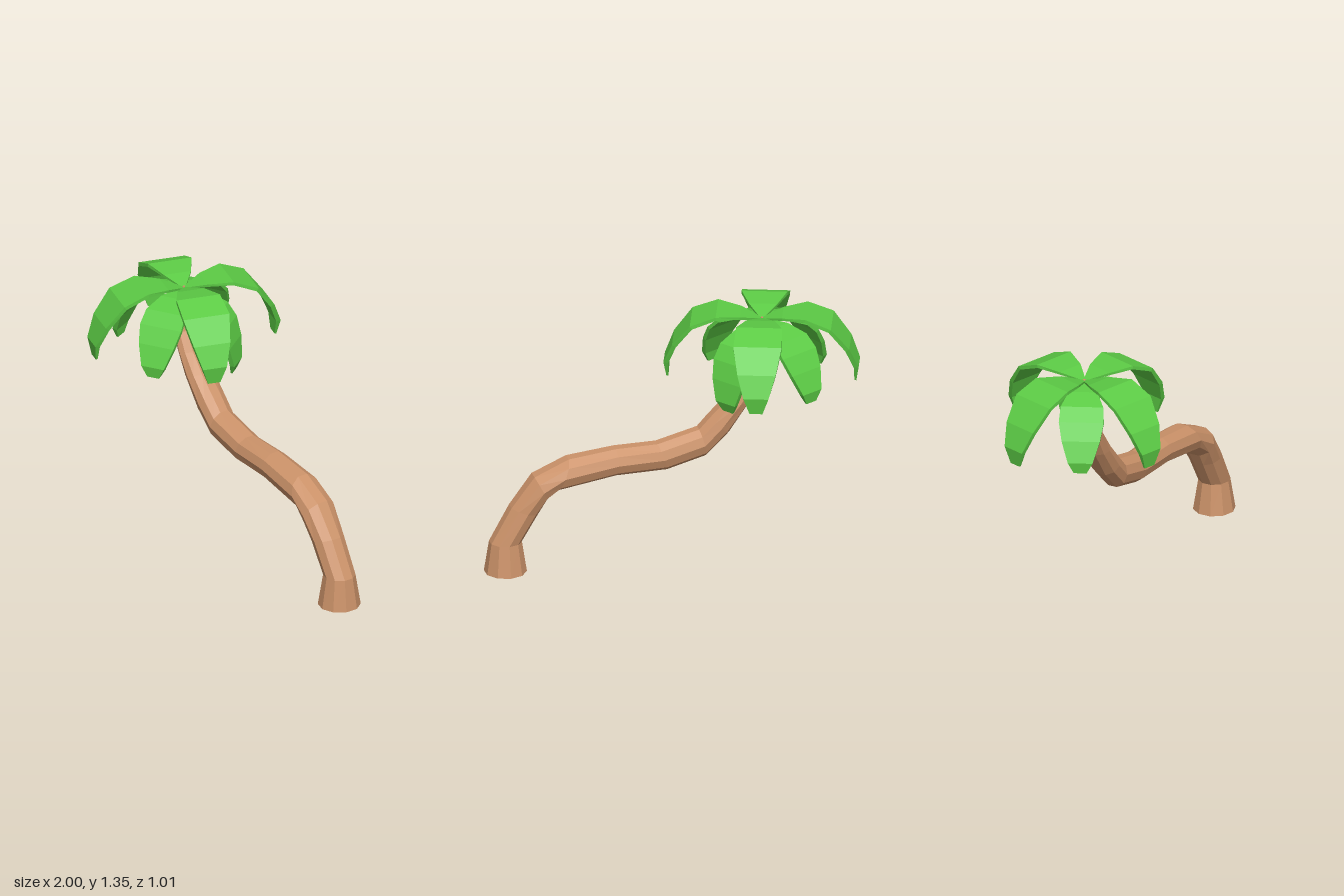
import * as THREE from 'three';

const bark = new THREE.MeshStandardMaterial({ color: 0xcb9269, flatShading: true });
const green = new THREE.MeshStandardMaterial({ color: 0x5ccb45, flatShading: true });

// Joins equal-sized closed cross-sections into a capped solid.
function loft(rings) {
  const n = rings[0].length, last = (rings.length - 1) * n, index = [];
  for (let i = 0; i < rings.length - 1; i++) {
    for (let k = 0; k < n; k++) {
      const a = i * n + k, b = i * n + (k + 1) % n;
      index.push(a, a + n, b, b, a + n, b + n);
    }
  }
  for (let k = 1; k < n - 1; k++) {
    index.push(0, k, k + 1, last, last + k + 1, last + k);
  }
  const geo = new THREE.BufferGeometry();
  geo.setAttribute('position', new THREE.Float32BufferAttribute(rings.flat(2), 3));
  geo.setIndex(index);
  const flat = geo.toNonIndexed();
  flat.computeVertexNormals();
  return flat;
}

// Ten-sided trunk: each ring is inner edge x, y, outer edge x, y, centre z, z radius.
function trunkGeometry() {
  const sides = 10;
  const stations = [
    [0.785, 0, 1, 0, 0.032, 0.112],
    [0.81, 0.17, 0.975, 0.17, 0.032, 0.084],
    [0.72, 0.32, 0.866, 0.365, 0.032, 0.088],
    [0.675, 0.395, 0.743, 0.53, 0.03, 0.1],
    [0.626, 0.444, 0.56, 0.615, 0.02, 0.095],
    [0.305, 0.497, 0.305, 0.647, 0.01, 0.085],
    [0.03, 0.503, 0.08, 0.652, 0.002, 0.08],
    [-0.18, 0.56, -0.144, 0.71, 0, 0.08],
    [-0.305, 0.68, -0.2, 0.77, 0, 0.082],
    [-0.417, 0.84, -0.3, 0.87, 0, 0.08],
    [-0.48, 0.965, -0.38, 0.97, 0, 0.077],
    [-0.524, 1.053, -0.44, 1.07, 0, 0.068],
    [-0.54, 1.2, -0.475, 1.21, 0, 0.04],
    [-0.497, 1.305, -0.485, 1.305, 0, 0.007],
  ];
  return loft(stations.map(([x1, y1, x2, y2, cz, rz]) =>
    Array.from({ length: sides }, (_, k) => {
      const a = (k + 0.5) * 2 * Math.PI / sides;
      const c = Math.cos(a) / Math.cos(Math.PI / sides) / 2;
      return [(x1 + x2) / 2 + (x2 - x1) * c, (y1 + y2) / 2 + (y2 - y1) * c, cz + rz * Math.sin(a)];
    })));
}

// Thin drooping frond along +x; rows of reach, height, half width, thickness.
function frondGeometry(rows) {
  return loft(rows.map(([s, y, w, thick], i) => {
    const p = rows[Math.max(i - 1, 0)], q = rows[Math.min(i + 1, rows.length - 1)];
    const ds = q[0] - p[0], dy = q[1] - p[1], len = Math.hypot(ds, dy);
    const bs = s + dy / len * thick, by = y - ds / len * thick;
    return [[bs, by, w], [s, y, w], [s, y, -w], [bs, by, -w]];
  }));
}

const upperRows = [
  [0, 1.3, 0.008, 0.01], [0.11, 1.332, 0.075, 0.014], [0.235, 1.347, 0.12, 0.018],
  [0.37, 1.295, 0.127, 0.02], [0.465, 1.175, 0.1, 0.024], [0.512, 1.06, 0.066, 0.026],
  [0.498, 0.97, 0.034, 0.01],
];
const lowerRows = [
  [0, 1.3, 0.008, 0.01], [0.12, 1.287, 0.075, 0.014], [0.225, 1.25, 0.112, 0.018],
  [0.29, 1.19, 0.118, 0.02], [0.345, 1.105, 0.1, 0.024], [0.39, 1.0, 0.065, 0.026],
  [0.382, 0.94, 0.034, 0.01],
];

export function createModel() {
  const tree = new THREE.Group();
  tree.name = 'bentPalmTree';

  const trunk = new THREE.Mesh(trunkGeometry(), bark);
  trunk.name = 'trunk';
  tree.add(trunk);

  const crown = new THREE.Group();
  crown.name = 'crown';
  crown.position.set(-0.49, 1.3, 0);
  tree.add(crown);

  const addFrond = (name, geometry, dx, dz, tilt = 0) => {
    const frond = new THREE.Mesh(geometry, green);
    frond.name = name;
    frond.rotation.set(0, Math.atan2(-dz, dx), -THREE.MathUtils.degToRad(tilt));
    crown.add(frond);
  };
  const upper = frondGeometry(upperRows).translate(0, -1.3, 0);
  const lower = frondGeometry(lowerRows).translate(0, -1.3, 0);

  // Four large level fronds
  for (const [dx, dz] of [[0.47, 0.16], [-0.16, 0.47], [-0.47, -0.16], [0.16, -0.47]]) {
    addFrond('upperFrond', upper, dx, dz);
  }

  // Smaller sagging fronds in the gaps, one hanging lower
  for (const [dx, dz] of [[-0.185, -0.355], [-0.36, 0.165], [0.175, 0.335]]) {
    addFrond('lowerFrond', lower, dx, dz);
  }
  addFrond('hangingFrond', lower, 0.23, -0.16, 15);

  return tree;
}
